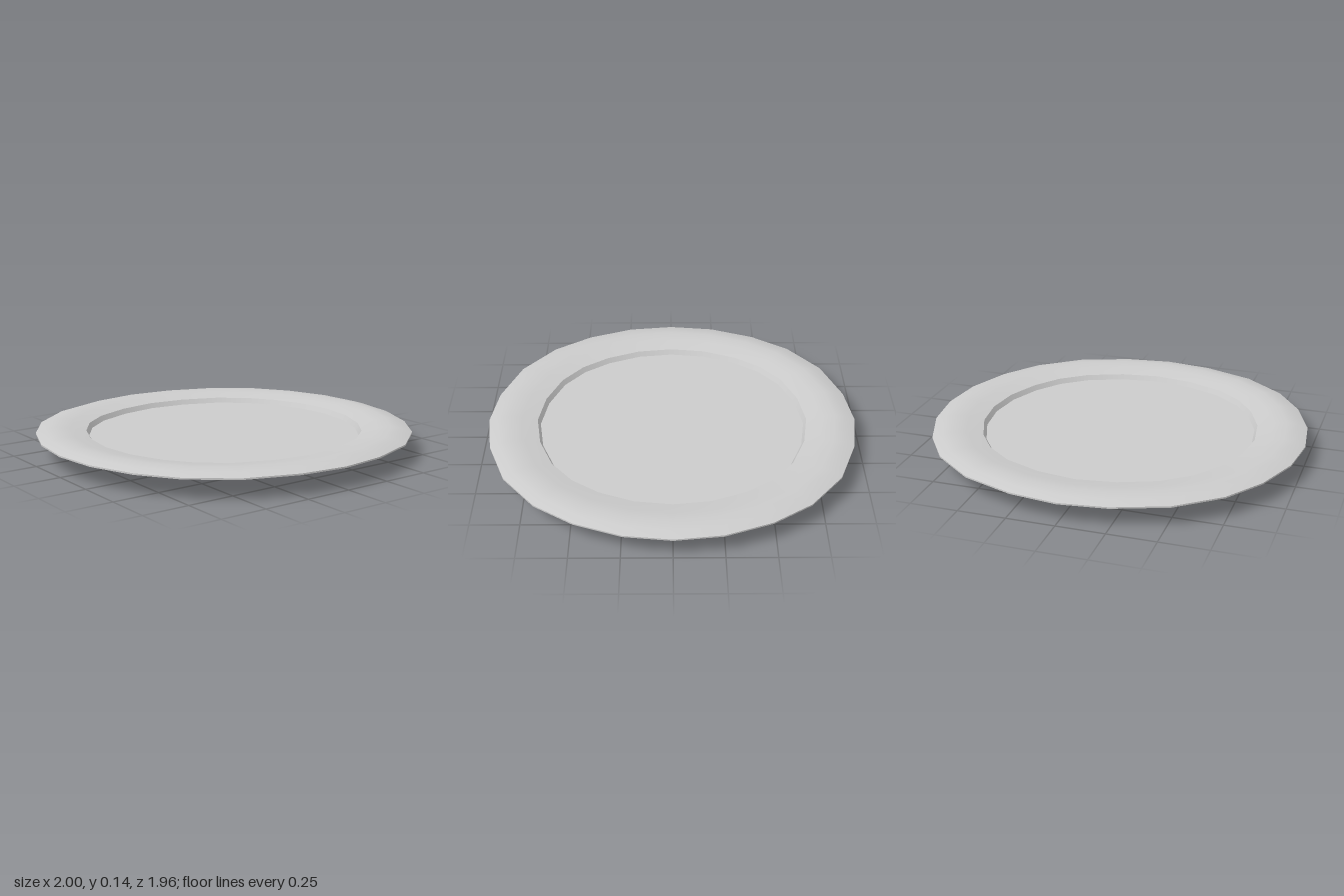
import * as THREE from 'three';

const SIDES = 24;
// Slightly uneven outline over one quarter turn, from the z axis to the x axis
const SCALE = [0.98, 0.98, 0.996, 1.003, 1, 1, 1];
const OUTER = [0, 14.7, 31.5, 47.4, 61.3, 76, 90];
const INNER = [0, 16.5, 33, 46.8, 60, 75, 90];

// Moves each vertex of a turned band onto the uneven outline
function warp(geometry) {
  const p = geometry.attributes.position;
  for (let i = 0; i < p.count; i++) {
    const x = p.getX(i), z = p.getZ(i), r = Math.hypot(x, z);
    const k = Math.round(THREE.MathUtils.radToDeg(Math.atan2(Math.abs(x), Math.abs(z))) / 15);
    const t = THREE.MathUtils.clamp((r - 0.73) / 0.27, 0, 1);
    const a = THREE.MathUtils.degToRad(THREE.MathUtils.lerp(INNER[k], OUTER[k], t));
    p.setX(i, Math.sign(x) * r * SCALE[k] * Math.sin(a));
    p.setZ(i, Math.sign(z) * r * SCALE[k] * Math.cos(a));
  }
  return geometry;
}

export function createModel() {
  const plate = new THREE.Group();
  plate.name = 'plate';
  const material = new THREE.MeshStandardMaterial({ color: 0xcccccc, side: THREE.DoubleSide });

  // Each band is smooth; bands meet at sharp edges
  const band = (name, profile) => {
    const points = profile.map(([r, y]) => new THREE.Vector2(r, y));
    const mesh = new THREE.Mesh(warp(new THREE.LatheGeometry(points, SIDES)), material);
    mesh.name = name;
    plate.add(mesh);
  };

  // Underside, from the centre outwards
  band('base', [[0, 0.012], [0.525, 0.012]]);
  band('footRing', [[0.525, 0.012], [0.535, 0], [0.555, 0.003]]);
  band('bowlUnderside', [[0.555, 0.003], [0.62, 0.018], [0.68, 0.035], [0.715, 0.056], [0.755, 0.075]]);
  band('rimUnderside', [[0.755, 0.075], [0.88, 0.083], [1, 0.104]]);
  // Edge and upper side, from the outside inwards
  band('rimEdge', [[1, 0.104], [1, 0.112]]);
  band('rimTop', [[1, 0.112], [0.95, 0.128], [0.89, 0.137], [0.82, 0.129], [0.735, 0.113]]);
  band('wellWall', [[0.735, 0.113], [0.72, 0.086]]);
  band('wellFloor', [[0.72, 0.086], [0, 0.086]]);

  return plate;
}
